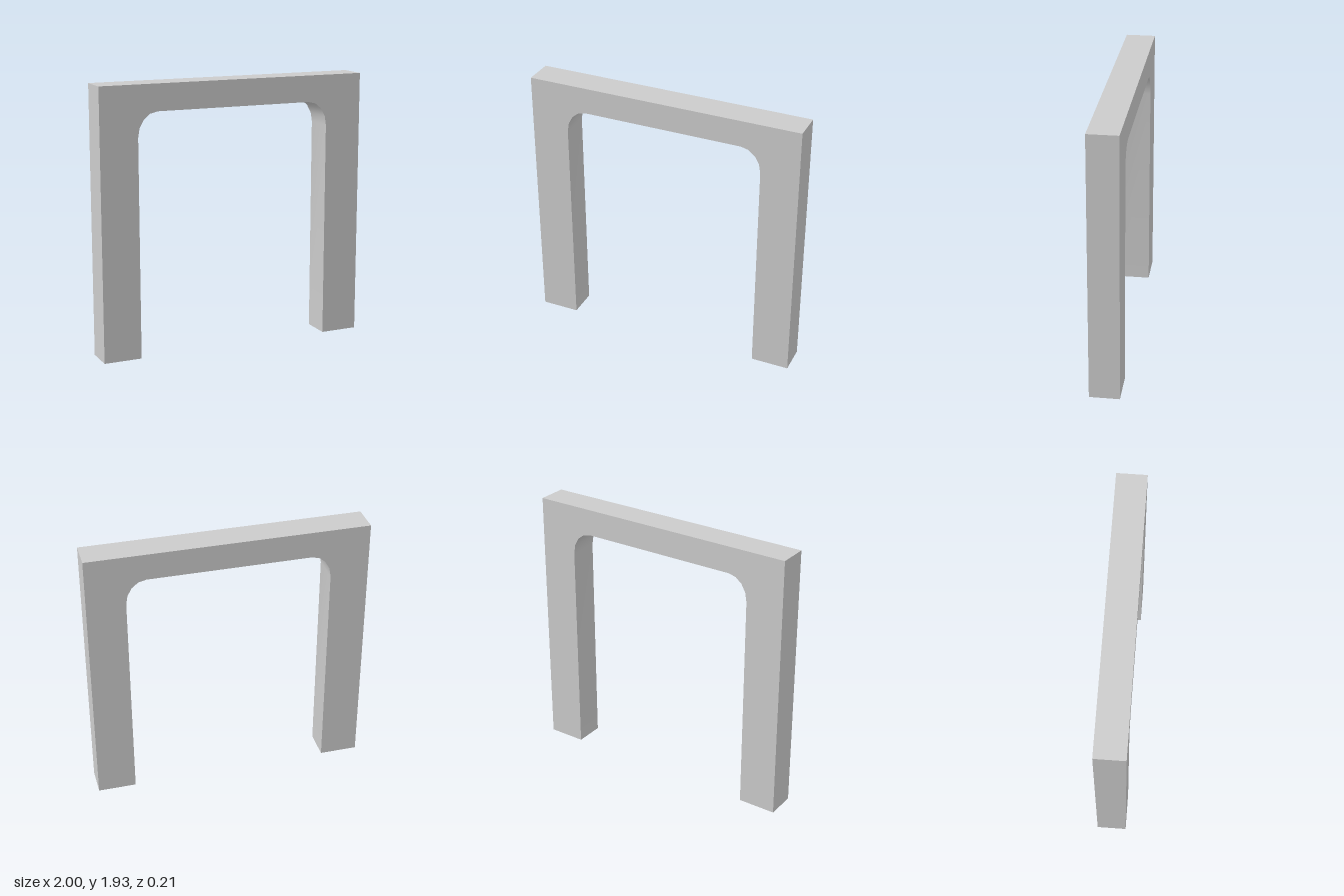
import * as THREE from 'three';
import { toCreasedNormals } from 'three/addons/utils/BufferGeometryUtils.js';

export function createModel() {
  const group = new THREE.Group();
  group.name = 'archway';

  const halfWidth = 1, height = 1.935, depth = 0.214;
  const innerHalf = 0.725, innerTop = 1.745; // opening
  const rx = 0.145, ry = 0.175; // rounded upper corners of the opening

  // Outline: two legs joined by a lintel
  const outline = new THREE.Shape();
  outline.moveTo(-halfWidth, 0);
  outline.lineTo(-innerHalf, 0);
  outline.lineTo(-innerHalf, innerTop - ry);
  outline.absellipse(-innerHalf + rx, innerTop - ry, rx, ry, Math.PI, Math.PI / 2, true);
  outline.lineTo(innerHalf - rx, innerTop);
  outline.absellipse(innerHalf - rx, innerTop - ry, rx, ry, Math.PI / 2, 0, true);
  outline.lineTo(innerHalf, 0);
  outline.lineTo(halfWidth, 0);
  outline.lineTo(halfWidth, height);
  outline.lineTo(-halfWidth, height);
  outline.closePath();

  // Four facets per corner, shaded smooth; other edges stay sharp
  const extruded = new THREE.ExtrudeGeometry(outline, { depth, bevelEnabled: false, curveSegments: 2 });
  extruded.translate(0, 0, -depth / 2);

  const frame = new THREE.Mesh(
    toCreasedNormals(extruded, 0.7),
    new THREE.MeshStandardMaterial({ color: 0xcccccc })
  );
  frame.name = 'archFrame';
  group.add(frame);

  return group;
}
